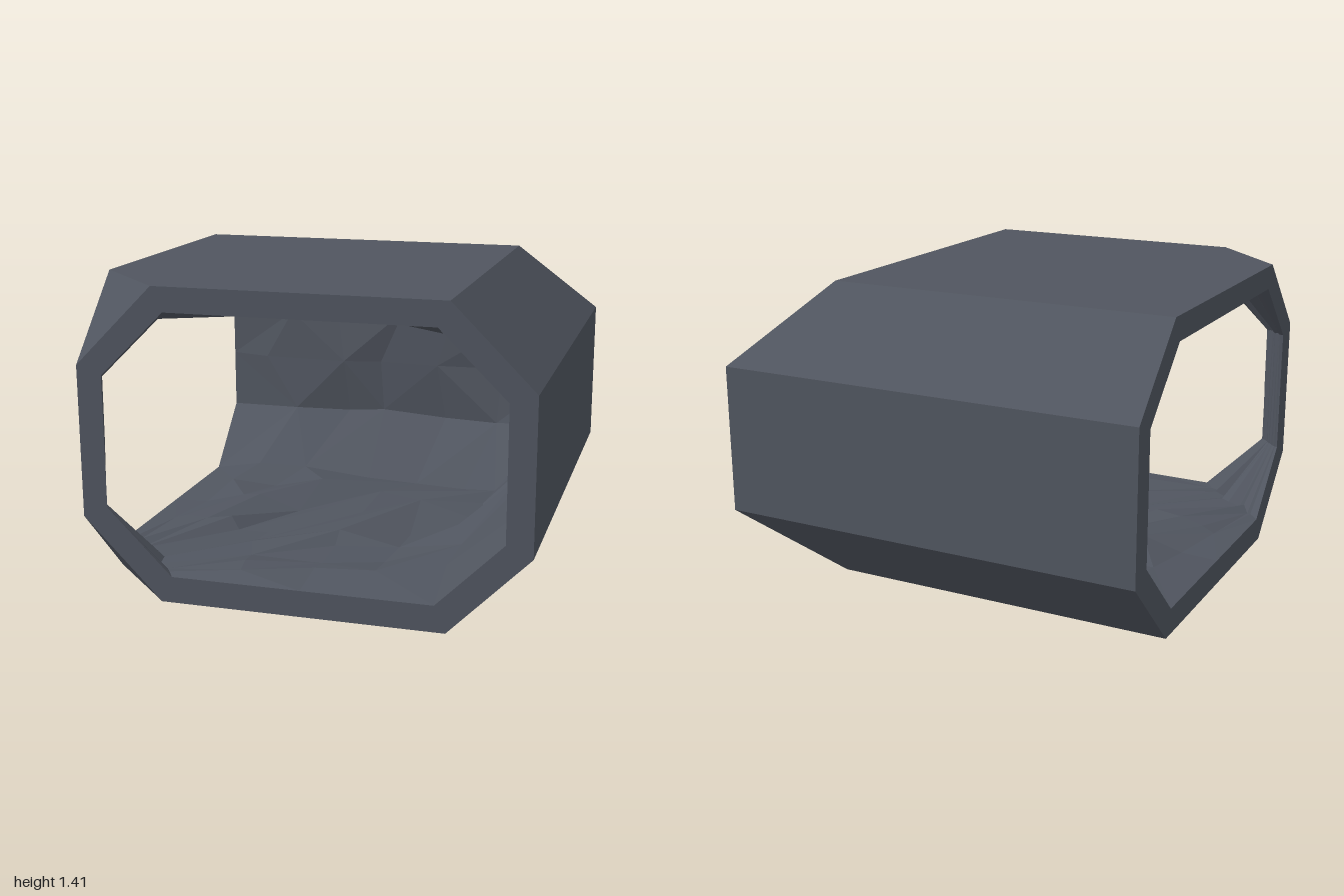
import * as THREE from 'three';

const H = 1.41, MID = H / 2;

// Octagonal section, counter-clockwise seen from the front, as [s, y]
function octagon(w, flat, y0, y1, ySlope0, ySlope1) {
  return [[-flat, y0], [flat, y0], [w, ySlope0], [w, ySlope1],
    [flat, y1], [-flat, y1], [-w, ySlope1], [-w, ySlope0]];
}

// Position on the bend: t = 0 front mouth, 0.5 mitre, 1 side mouth at x = -1.
// The far side turns a square corner, the near side is cut straight across.
function onBend(s, y, t) {
  const m = s < 0 ? Math.max((s - 1) / 2, s * 1.347) : s;
  const front = new THREE.Vector3(s, y, 1);
  const mitre = new THREE.Vector3(m, y, -m);
  const side = new THREE.Vector3(-1, y, -s);
  return t < 0.5 ? front.lerp(mitre, t * 2) : mitre.lerp(side, t * 2 - 1);
}

// Flat-faced skin through closed rings of points
function loft(rings, inward) {
  const pos = [];
  const tri = (a, b, c) => {
    const area = b.clone().sub(a).cross(c.clone().sub(a)).length();
    if (area < 1e-6) return;
    for (const p of inward ? [a, c, b] : [a, b, c]) pos.push(p.x, p.y, p.z);
  };
  for (let r = 0; r + 1 < rings.length; r++) {
    const A = rings[r], B = rings[r + 1];
    for (let i = 0; i < A.length; i++) {
      const j = (i + 1) % A.length;
      if (inward && (i + r) % 2) {
        tri(A[i], B[i], A[j]);
        tri(B[i], B[j], A[j]);
      } else {
        tri(A[i], B[i], B[j]);
        tri(A[i], B[j], A[j]);
      }
    }
  }
  const g = new THREE.BufferGeometry();
  g.setAttribute('position', new THREE.Float32BufferAttribute(pos, 3));
  g.computeVertexNormals();
  return g;
}

export function createModel() {
  const group = new THREE.Group();
  const material = new THREE.MeshStandardMaterial({ color: 0x50555f, flatShading: true });
  const add = (name, geometry) => {
    const mesh = new THREE.Mesh(geometry, material);
    mesh.name = name;
    group.add(mesh);
    return mesh;
  };

  const outer = octagon(1, 0.64, 0, H, 0.365, 1.05);
  const inner = octagon(0.885, 0.59, 0.12, 1.3, 0.415, 1.01);

  // Outer shell
  add('outerShell', loft([0, 0.5, 1].map((t) => outer.map(([s, y]) => onBend(s, y, t))), false));

  // Flat rims around the two mouths
  const rimShape = new THREE.Shape(outer.map(([x, y]) => new THREE.Vector2(x, y)));
  rimShape.holes.push(new THREE.Path(inner.map(([x, y]) => new THREE.Vector2(x, y))));
  const rim = new THREE.ShapeGeometry(rimShape);
  add('frontRim', rim).position.z = 1;
  const sideRim = add('sideRim', rim);
  sideRim.position.x = -1;
  sideRim.rotation.y = -Math.PI / 2;

  // Rough rock lining: subdivided section pushed inward by seeded noise
  let seed = 7;
  const rnd = () => (seed = (seed * 16807) % 2147483647) / 2147483647;
  for (let i = 0; i < 10; i++) rnd();
  const splits = [4, 1, 2, 1, 4, 1, 2, 1];
  const section = [];
  inner.forEach(([s, y], i) => {
    const [s2, y2] = inner[(i + 1) % 8];
    for (let k = 0; k < splits[i]; k++) {
      const f = k / splits[i];
      section.push([s + (s2 - s) * f, y + (y2 - y) * f]);
    }
  });
  const steps = 12;
  const rockRings = [];
  for (let r = 0; r <= steps; r++) {
    const end = r === 0 || r === steps;
    rockRings.push(section.map(([s, y]) => {
      // The short run around the near corner post stays almost smooth
      const rough = end ? 0 : Math.min(1, (1 + s) * 1.2);
      const ks = 1 - 0.11 * rough * rnd() ** 1.5;
      const ky = 1 - 0.14 * rough * rnd() ** 1.5;
      const slide = r === steps / 2 ? 0 : (rnd() - 0.5) * rough * 0.8 / steps;
      return onBend(s * ks, MID + (y - MID) * ky, r / steps + slide);
    }));
  }
  add('rockLining', loft(rockRings, true));

  return group;
}
